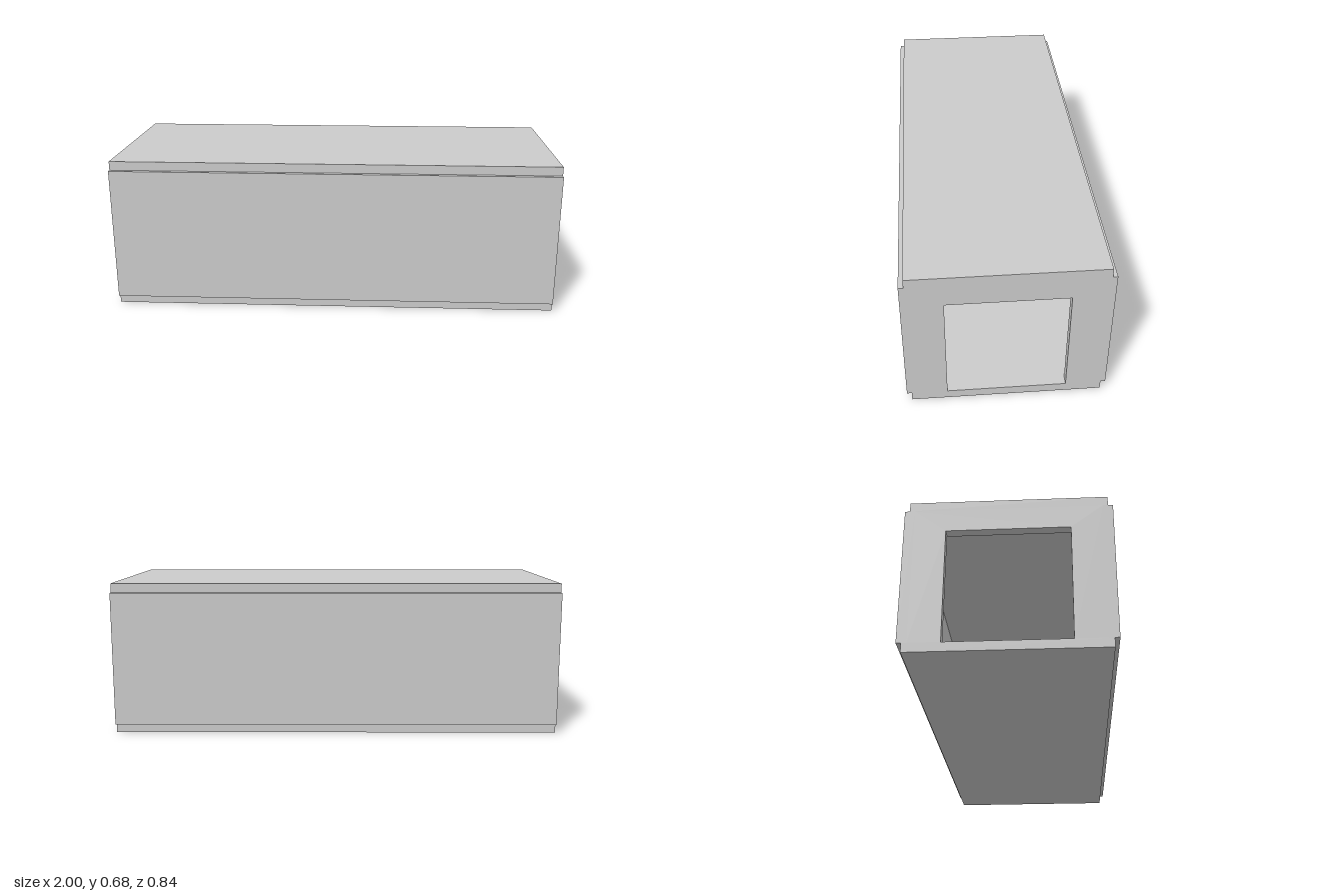
import * as THREE from 'three';

const LENGTH = 2, T = 0.04; // overall length, panel thickness
const BASE = 0.04, EAVES = 0.64; // wall bottom and top
const INNER = 0.38; // half width of the interior
const DOOR_HALF = 0.25, DOOR_TOP = 0.54;

export function createModel() {
  const group = new THREE.Group();
  const material = new THREE.MeshStandardMaterial({ color: 0xcccccc, flatShading: true });

  const add = (name, geometry, x, y, z) => {
    const mesh = new THREE.Mesh(geometry, material);
    mesh.name = name;
    mesh.position.set(x, y, z);
    group.add(mesh);
  };

  // Floor and roof slabs
  const slab = new THREE.BoxGeometry(LENGTH, T, 0.8);
  add('floor', slab, 0, BASE - T / 2, 0);
  add('roof', slab, 0, EAVES + T / 2, 0);

  // Long side walls, standing slightly proud of the slabs
  const side = new THREE.BoxGeometry(LENGTH, EAVES - BASE, T);
  const midY = (BASE + EAVES) / 2;
  add('frontWall', side, 0, midY, INNER + T / 2);
  add('backWall', side, 0, midY, -INNER - T / 2);

  // End walls with a doorway open down to the floor
  const outline = new THREE.Shape([
    [-INNER, BASE], [-DOOR_HALF, BASE], [-DOOR_HALF, DOOR_TOP], [DOOR_HALF, DOOR_TOP],
    [DOOR_HALF, BASE], [INNER, BASE], [INNER, EAVES], [-INNER, EAVES],
  ].map(([z, y]) => new THREE.Vector2(z, y)));
  const end = new THREE.ExtrudeGeometry(outline, { depth: T, bevelEnabled: false });
  end.rotateY(Math.PI / 2);
  add('leftEndWall', end, LENGTH / 2 - T, 0, 0);
  add('rightEndWall', end, -LENGTH / 2, 0, 0);

  return group;
}
